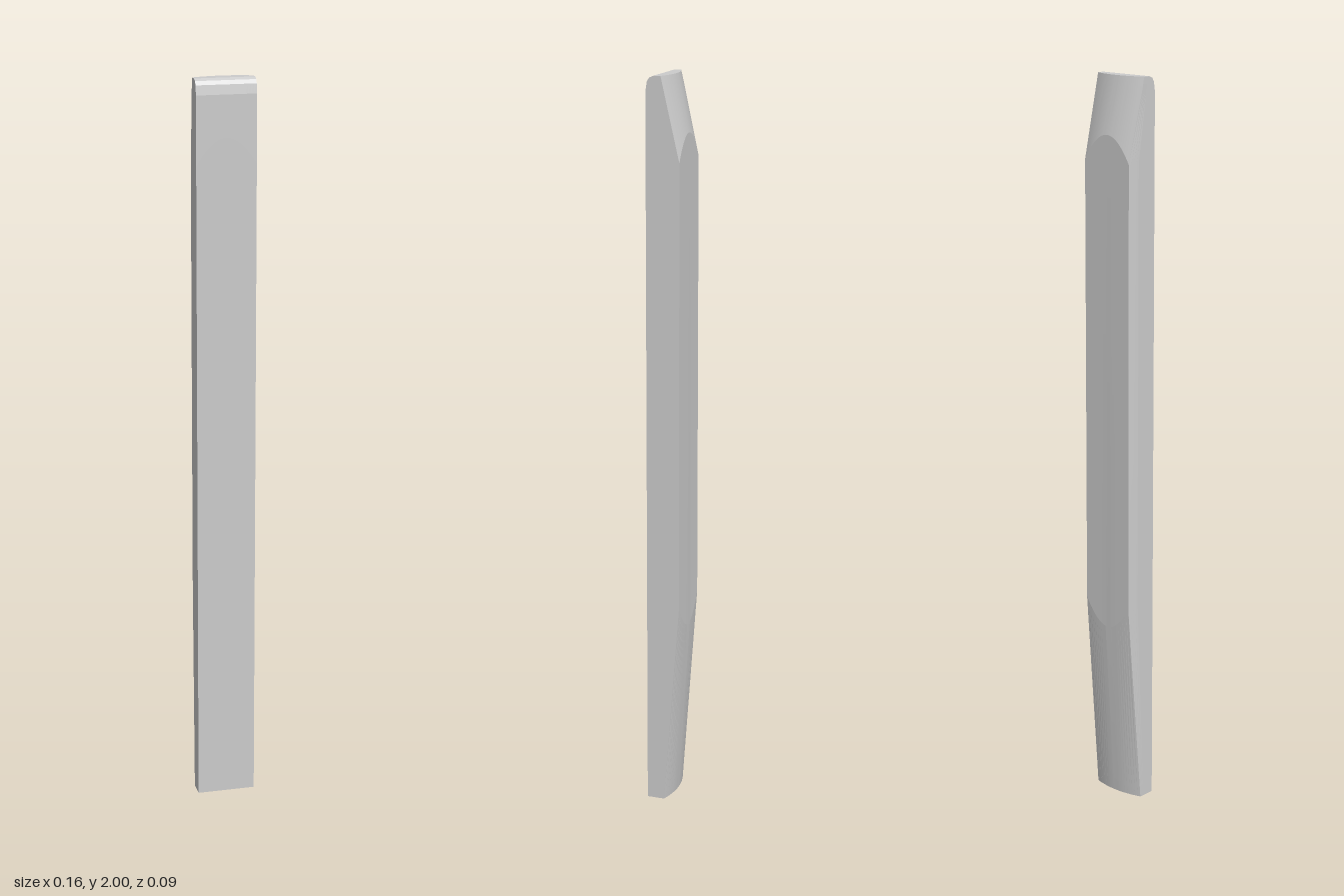
import * as THREE from 'three';
import { toCreasedNormals } from 'three/addons/utils/BufferGeometryUtils.js';

const HALF = 0.08, FRONT = 0.045, BACK = -0.047;
const NU = 20, NT = 12; // steps across the width and through the depth

// Rows from bottom to top: height, front z and back z at width position u (-1..1)
const arc = (u) => u * u;
const topBack = (u) => -0.012 + 0.016 * arc(u);
const topStart = (u) => 1.85 - 0.07 * arc(u);
const topRow = (y, front) => (u) => {
  const k = (y - topStart(u)) / (2 - topStart(u));
  return [y, front, BACK + (topBack(u) - BACK) * k];
};
const rows = [
  (u) => [0, FRONT, -0.016 + 0.013 * arc(u)],
  (u) => [0.5 + 0.07 * arc(u), FRONT, BACK],
  (u) => [topStart(u), FRONT, BACK],
  topRow(1.96, FRONT),
  topRow(1.985, 0.041),
  topRow(1.995, 0.035),
  topRow(2, 0.023),
];

// Point on a row; the -x side leans inward towards the back
function point(row, u, t) {
  const [y, front, back] = row(u);
  const z = front + (back - front) * t;
  const lean = 0.007 * Math.pow(THREE.MathUtils.clamp((-z - 0.015) / 0.032, 0, 1), 1.3);
  const x = -HALF + lean + (2 * HALF - lean) * (u + 1) / 2;
  return [x, y, z];
}

// Closed outline of a row, counter-clockwise from above
function ring(row) {
  const pts = [];
  for (let i = 0; i < NU; i++) pts.push(point(row, -1 + 2 * i / NU, 0));
  for (let i = 0; i < NT; i++) pts.push(point(row, 1, i / NT));
  for (let i = 0; i < NU; i++) pts.push(point(row, 1 - 2 * i / NU, 1));
  for (let i = 0; i < NT; i++) pts.push(point(row, -1, 1 - i / NT));
  return pts;
}

function barGeometry() {
  const pos = [];
  const quad = (a, b, c, d) => pos.push(...a, ...b, ...c, ...a, ...c, ...d);

  // Walls
  const rings = rows.map(ring);
  for (let r = 0; r < rings.length - 1; r++) {
    const lo = rings[r], hi = rings[r + 1], n = lo.length;
    for (let i = 0; i < n; i++) {
      const j = (i + 1) % n;
      quad(lo[i], lo[j], hi[j], hi[i]);
    }
  }

  // End faces
  const top = rows[rows.length - 1];
  for (let i = 0; i < NU; i++) {
    for (let j = 0; j < NT; j++) {
      const u0 = -1 + 2 * i / NU, u1 = -1 + 2 * (i + 1) / NU;
      const t0 = j / NT, t1 = (j + 1) / NT;
      quad(point(top, u0, t0), point(top, u1, t0), point(top, u1, t1), point(top, u0, t1));
      quad(point(rows[0], u0, t0), point(rows[0], u0, t1), point(rows[0], u1, t1), point(rows[0], u1, t0));
    }
  }

  const geo = new THREE.BufferGeometry();
  geo.setAttribute('position', new THREE.Float32BufferAttribute(pos, 3));
  return toCreasedNormals(geo, 0.065);
}

export function createModel() {
  const group = new THREE.Group();
  group.name = 'bevelledBar';
  const bar = new THREE.Mesh(barGeometry(), new THREE.MeshStandardMaterial({ color: 0xcccccc }));
  bar.name = 'bar';
  group.add(bar);
  return group;
}
